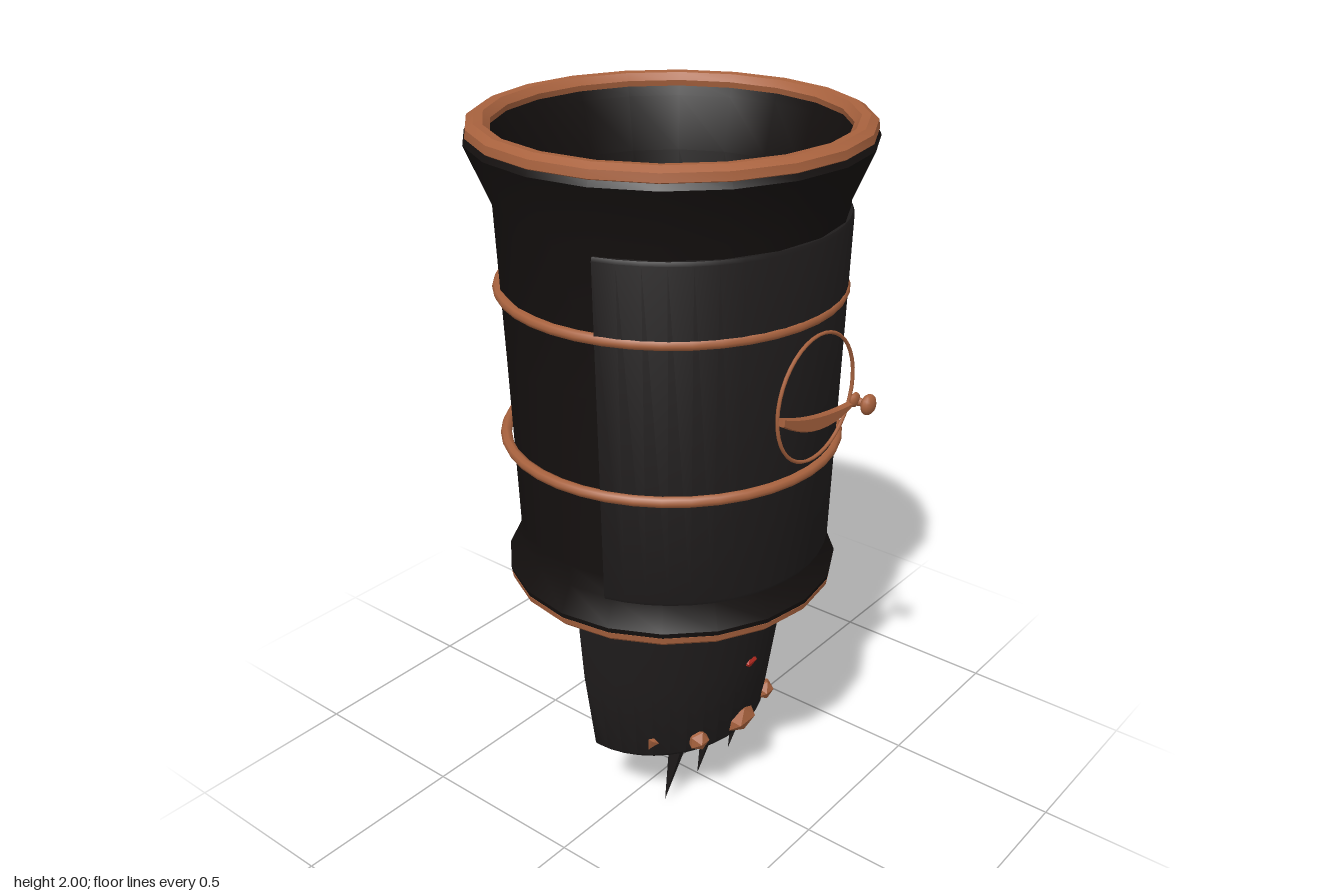
import * as THREE from 'three';
import { toCreasedNormals } from 'three/addons/utils/BufferGeometryUtils.js';

const CX = -0.01; // axis of the sleeve
const mat = (color) => new THREE.MeshStandardMaterial({ color, side: THREE.DoubleSide });

export function createModel() {
  const group = new THREE.Group();
  const leather = mat(0x14100f), plateMat = mat(0x1f1c1c), copper = mat(0xa8623e), red = mat(0xb52a20);

  const add = (name, geo, material, x = 0, y = 0, z = 0, parent = group) => {
    const mesh = new THREE.Mesh(geo, material);
    mesh.name = name;
    mesh.position.set(x, y, z);
    parent.add(mesh);
    return mesh;
  };

  // Closed [radius, y] profile turned around the y axis; open sweeps get end caps
  const turned = (name, profile, material, sides, start = 0, sweep = Math.PI * 2) => {
    const part = new THREE.Group();
    part.name = name;
    group.add(part);
    const pts = profile.map(([r, y]) => new THREE.Vector2(r, y));
    const lathe = new THREE.LatheGeometry([...pts, pts[0].clone()], sides, start, sweep);
    add(name + 'Wall', toCreasedNormals(lathe, 0.55), material, 0, 0, 0, part);
    if (sweep < 6) {
      for (const a of [start, start + sweep]) {
        add(name + 'End', new THREE.ShapeGeometry(new THREE.Shape(pts)), material, 0, 0, 0, part).rotation.y = a - Math.PI / 2;
      }
    }
    part.position.x = CX;
    return part;
  };

  // Flared double-walled sleeve
  turned('sleeve', [
    [0.40, 0.745], [0.455, 0.745], [0.46, 0.77], [0.425, 0.84], [0.424, 0.9], [0.44, 1.4], [0.455, 1.8],
    [0.518, 1.95], [0.5, 1.985], [0.46, 1.985], [0.445, 1.94], [0.405, 1.8], [0.39, 1.4], [0.366, 0.86],
  ], leather, 20);

  // Copper rims at both mouths
  turned('topRim', [
    [0.455, 1.955], [0.5, 1.955], [0.513, 1.967], [0.51, 1.988], [0.49, 2.0], [0.467, 1.998], [0.45, 1.98],
  ], copper, 20);
  turned('bottomRim', [
    [0.405, 0.73], [0.445, 0.728], [0.455, 0.738], [0.458, 0.755], [0.43, 0.762], [0.4, 0.75],
  ], copper, 20);

  // Two hoops around the sleeve
  for (const y of [1.15, 1.565]) {
    add('hoop', new THREE.TorusGeometry(0.448, 0.015, 8, 40), copper, CX, y, 0).rotation.x = Math.PI / 2;
  }

  // Curved side plate
  turned('sidePlate', [
    [0.41, 0.84], [0.433, 0.84], [0.437, 0.85], [0.462, 1.76], [0.458, 1.77], [0.43, 1.77],
  ], plateMat, 20, Math.PI / 2 - 1.3, 2.6);

  // Half-round hand guard, slightly flattened
  const guard = turned('handGuard', [
    [0.278, 0.245], [0.29, 0.237], [0.306, 0.237], [0.317, 0.25], [0.356, 0.5], [0.376, 0.73],
    [0.379, 0.82], [0.335, 0.82], [0.318, 0.5],
  ], plateMat, 20, 0, Math.PI);
  guard.scale.x = 0.88;
  guard.position.x = -0.033;

  // Emblem: ring, sickle and knob on the side plate
  const emblem = new THREE.Group();
  emblem.name = 'emblem';
  emblem.position.set(0.452, 1.36, 0);
  emblem.rotation.y = Math.PI / 2;
  group.add(emblem);
  add('emblemRing', new THREE.TorusGeometry(0.167, 0.005, 6, 40), copper, 0, 0, 0, emblem);
  const sickle = new THREE.Shape();
  sickle.moveTo(-0.167, 0.005);
  sickle.quadraticCurveTo(-0.03, -0.055, 0.155, -0.062);
  sickle.quadraticCurveTo(0.0, -0.12, -0.167, -0.012);
  add('emblemSickle', new THREE.ExtrudeGeometry(sickle, {
    depth: 0.012, bevelEnabled: true, bevelSize: 0.003, bevelThickness: 0.004, bevelSegments: 1, curveSegments: 10,
  }), copper, 0, 0, 0.006, emblem);
  add('knobStem', new THREE.CylinderGeometry(0.008, 0.014, 0.05, 8), copper, 0.168, -0.064, 0.03, emblem).rotation.x = Math.PI / 2;
  add('knobCollar', new THREE.SphereGeometry(0.02, 10, 8), copper, 0.155, -0.055, 0.018, emblem).scale.z = 0.5;
  add('knob', new THREE.SphereGeometry(0.028, 12, 10), copper, 0.17, -0.065, 0.05, emblem).scale.z = 0.62;

  // Red gem through the guard and a thin red disc inside the sleeve
  const gem = add('gem', new THREE.IcosahedronGeometry(0.037, 0), red, 0.258, 0.495, 0);
  gem.scale.set(0.85, 0.75, 1);
  add('gemPoint', new THREE.ConeGeometry(0.036, 0.04, 6), red, 0.226, 0.495, 0).rotation.z = Math.PI / 2;
  const disc = add('innerDisc', new THREE.CylinderGeometry(0.085, 0.085, 0.008, 12), red, 0.05, 0.9, 0.335);
  disc.rotation.x = Math.PI / 2;

  // Claws leaning to their tips
  const up = new THREE.Vector3(0, -1, 0);
  for (const z of [-0.155, 0, 0.155]) {
    const base = new THREE.Vector3(0.155, 0.31, z), tip = new THREE.Vector3(0.09, 0.003, z);
    const dir = tip.clone().sub(base);
    const claw = new THREE.ConeGeometry(0.034, dir.length(), 6).rotateX(Math.PI);
    const mid = base.clone().lerp(tip, 0.5);
    add('claw', toCreasedNormals(claw, 0.5), plateMat, mid.x, mid.y, mid.z)
      .quaternion.setFromUnitVectors(up, dir.normalize());
  }

  // Grip bars inside the guard, meeting in a V
  for (const s of [-1, 1]) {
    const bar = add('gripBar', new THREE.BoxGeometry(0.28, 0.065, 0.038), copper, 0.136, 0.31, s * 0.127);
    bar.rotation.y = s * 1.07;
  }

  // Copper studs along the lower edge of the guard
  const stud = (x, z, r, width) => {
    const geo = new THREE.IcosahedronGeometry(r, 0);
    add('stud', geo, copper, x, 0.285, z).scale.set(1, 1, width);
  };
  stud(0.238, 0, 0.042, 1.55);
  for (const s of [-1, 1]) {
    stud(0.212, s * 0.157, 0.034, 0.95);
    const spike = add('studSpike', new THREE.ConeGeometry(0.032, 0.05, 4), copper, 0.133, 0.302, s * 0.262);
    spike.rotation.set(s * 0.9, 0, -0.6);
  }
  return group;
}
